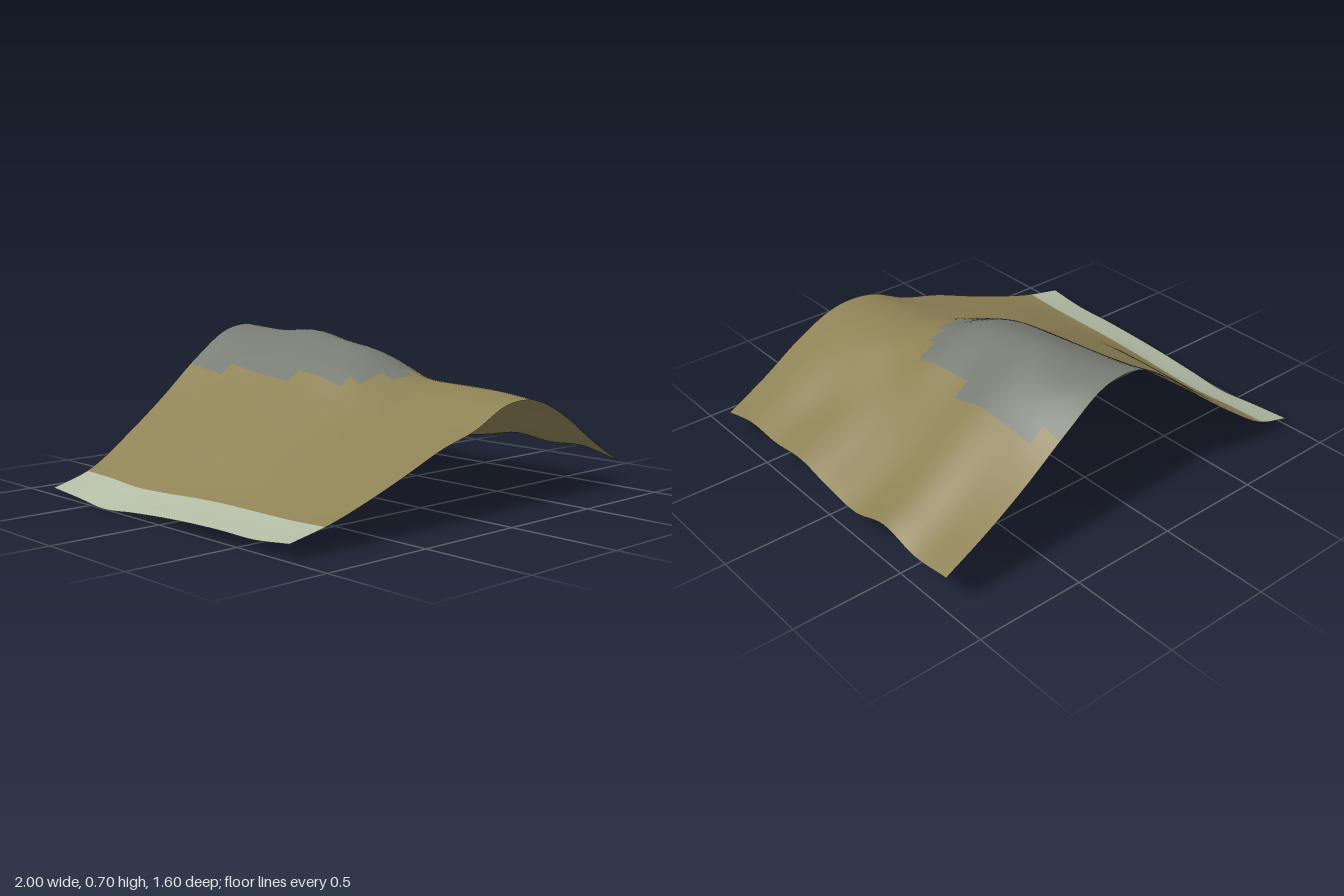
import * as THREE from 'three';

// Height sections across x (-1 to 1, step 0.2), from the back (z = -0.8) to the front (z = 0.8).
const SECTIONS = [
  [0.035, 0.10, 0.235, 0.39, 0.56, 0.69, 0.69, 0.56, 0.41, 0.28, 0.17],
  [0.02, 0.095, 0.235, 0.38, 0.53, 0.65, 0.685, 0.60, 0.42, 0.265, 0.15],
  [0.003, 0.085, 0.24, 0.375, 0.50, 0.635, 0.697, 0.61, 0.435, 0.285, 0.185],
  [0.02, 0.09, 0.24, 0.36, 0.48, 0.61, 0.665, 0.565, 0.40, 0.245, 0.13],
  [0.035, 0.10, 0.23, 0.34, 0.455, 0.58, 0.628, 0.55, 0.385, 0.25, 0.147],
  [0.045, 0.105, 0.21, 0.31, 0.41, 0.505, 0.538, 0.49, 0.38, 0.27, 0.18],
  [0.05, 0.105, 0.195, 0.285, 0.36, 0.43, 0.487, 0.485, 0.39, 0.25, 0.16],
  [0.05, 0.105, 0.185, 0.262, 0.33, 0.405, 0.475, 0.477, 0.39, 0.265, 0.165],
  [0.07, 0.11, 0.17, 0.24, 0.315, 0.37, 0.455, 0.455, 0.365, 0.235, 0.12],
];

// Stepped edges of the rocky crest: [up to this z, x of the edge].
const ROCK_LEFT = [[-0.567, -0.233], [-0.167, -0.167], [0.1, -0.1], [0.167, -0.033], [0.233, 0.1]];
const ROCK_RIGHT = [[-0.7, 0.433], [-0.233, 0.5], [0.1, 0.433], [0.167, 0.333], [0.233, 0.233]];

// Smooth interpolation through evenly spaced values.
function spline(values, t) {
  const n = values.length - 1;
  const i = Math.min(Math.floor(t), n - 1);
  const f = t - i;
  const b = values[i], c = values[i + 1];
  const a = i > 0 ? values[i - 1] : 2 * b - c;
  const d = i + 2 <= n ? values[i + 2] : 2 * c - b;
  return b + 0.5 * f * (c - a + f * (2 * a - 5 * b + 4 * c - d + f * (3 * (b - c) + d - a)));
}

function heightAt(x, z) {
  const u = THREE.MathUtils.clamp((x + 1) / 0.2, 0, 10);
  const v = THREE.MathUtils.clamp((z + 0.8) / 0.2, 0, 8);
  return Math.max(0, spline(SECTIONS.map((row) => spline(row, u)), v));
}

// 0 = lowland strip, 1 = slope, 2 = rock
function groundType(x, z) {
  if (x < -0.825) return 0;
  const left = ROCK_LEFT.find(([limit]) => z < limit);
  const right = ROCK_RIGHT.find(([limit]) => z < limit);
  return left && right && x > left[1] && x < right[1] ? 2 : 1;
}

function flat(name, color) {
  const material = new THREE.MeshStandardMaterial({ color, side: THREE.DoubleSide });
  material.name = name;
  return material;
}

export function createModel() {
  const group = new THREE.Group();
  group.name = 'hillTerrain';

  // Sheet of ground, 60 by 48 cells, raised by the height sections
  const geometry = new THREE.PlaneGeometry(2, 1.6, 60, 48).rotateX(-Math.PI / 2);
  const pos = geometry.attributes.position;
  for (let i = 0; i < pos.count; i++) {
    // The column along the lowland border sits slightly further in
    if (Math.abs(pos.getX(i) + 0.8333) < 0.001) pos.setX(i, -0.824);
    pos.setY(i, heightAt(pos.getX(i), pos.getZ(i)));
  }
  geometry.computeVertexNormals();

  // Sort the cells by ground type, keeping shared normals across the borders
  const faces = [[], [], []];
  const index = geometry.index.array;
  for (let i = 0; i < index.length; i += 6) {
    const cell = Array.from(index.slice(i, i + 6));
    const x = (pos.getX(cell[0]) + pos.getX(cell[4])) / 2;
    const z = (pos.getZ(cell[0]) + pos.getZ(cell[4])) / 2;
    faces[groundType(x, z)].push(...cell);
  }
  geometry.setIndex(faces.flat());
  let start = 0;
  faces.forEach((list, i) => {
    geometry.addGroup(start, list.length, i);
    start += list.length;
  });

  const terrain = new THREE.Mesh(geometry, [
    flat('paleLowland', 0xb2bba4),
    flat('oliveSlope', 0x8e8256),
    flat('greyRock', 0x787b73),
  ]);
  terrain.name = 'terrain';
  group.add(terrain);
  return group;
}
